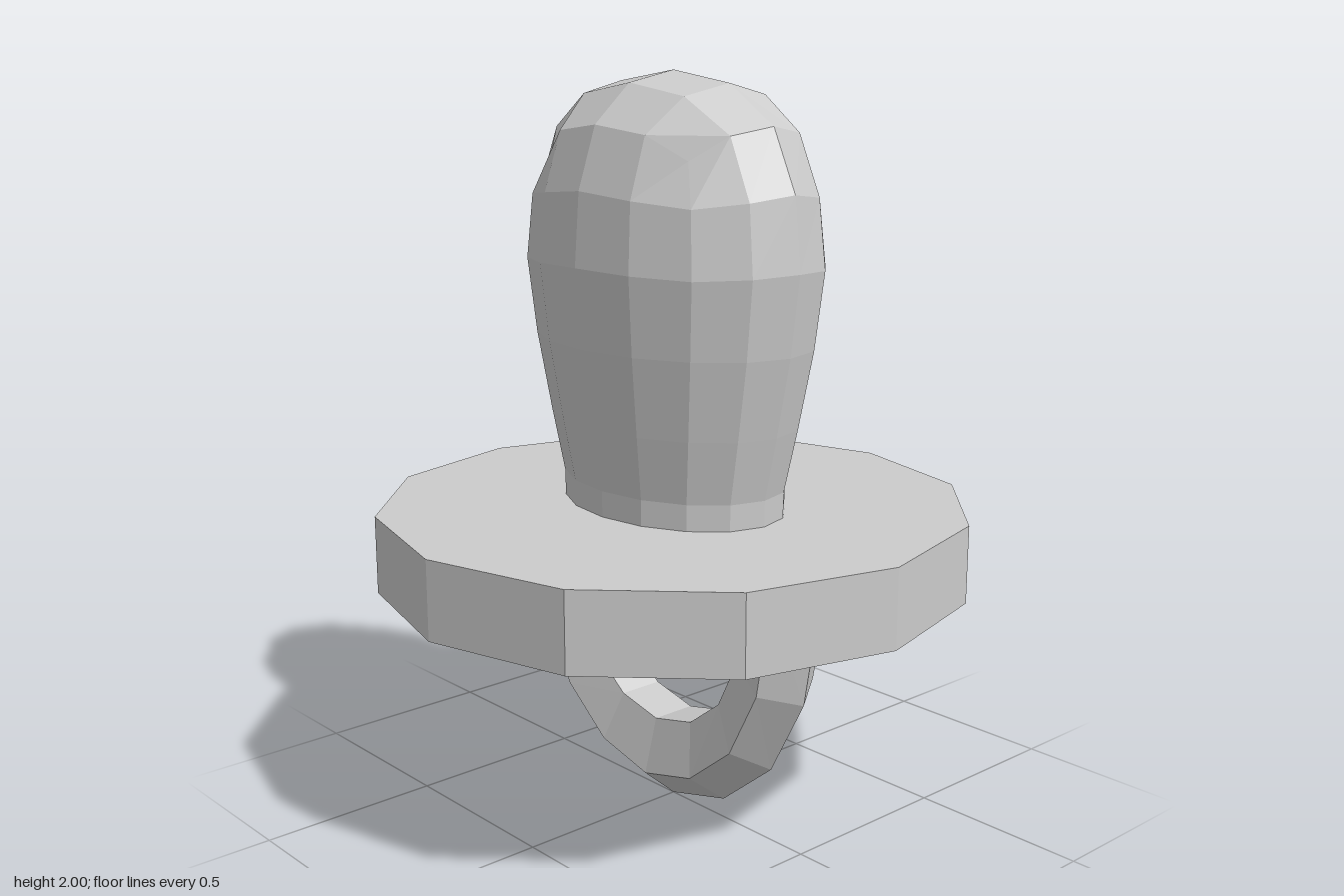
import * as THREE from 'three';

const material = new THREE.MeshStandardMaterial({ color: 0xcccccc, flatShading: true });

// Collects quads (corners counter-clockwise from outside) into a faceted mesh.
function quadMesh(name, addQuads) {
  const positions = [];
  addQuads((a, b, c, d) => positions.push(...a, ...b, ...c, ...a, ...c, ...d));
  const geometry = new THREE.BufferGeometry();
  geometry.setAttribute('position', new THREE.Float32BufferAttribute(positions, 3));
  geometry.computeVertexNormals();
  const mesh = new THREE.Mesh(geometry, material);
  mesh.name = name;
  return mesh;
}

// Oval bulb: stacked 16-sided rings closed by a rounded 4 x 4 grid of quads.
function createBulb() {
  const RX = 0.33, RZ = 0.46, SIDES = 16;
  // [larger offset][smaller offset] -> [larger fraction, smaller fraction, height]
  const cap = [
    [[0, 0, 2]],
    [[0.45, 0, 1.97], [0.42, 0.42, 1.94]],
    [[0.79, 0, 1.87], [0.73, 0.36, 1.85], [0.58, 0.58, 1.79]],
  ];
  const capPoint = (i, j) => {
    const m = Math.abs(i), n = Math.abs(j);
    const [big, small, y] = cap[Math.max(m, n)][Math.min(m, n)];
    const fx = m >= n ? big : small, fz = m >= n ? small : big;
    return [Math.sign(i) * fx * RX, y, Math.sign(j) * fz * RZ];
  };
  const angle = (k) => (k % SIDES) * 2 * Math.PI / SIDES;
  const gridStep = (v) => THREE.MathUtils.clamp(Math.round(2.8 * v), -2, 2);
  const capRim = (k) => capPoint(gridStep(Math.cos(angle(k))), gridStep(Math.sin(angle(k))));

  // [radius fraction, height, drop at the diagonals]
  const profile = [
    [0.955, 1.71, 0.03], [1, 1.52, 0.01], [0.94, 1.31, 0],
    [0.845, 1.1, 0], [0.76, 0.93, 0], [0.755, 0.8, 0],
  ];
  const rings = [capRim, ...profile.map(([r, y, drop]) => (k) => {
    const a = angle(k);
    return [r * RX * Math.cos(a), y - drop * Math.sin(2 * a) ** 2, r * RZ * Math.sin(a)];
  })];

  return quadMesh('bulb', (quad) => {
    for (let i = -2; i < 2; i++) for (let j = -2; j < 2; j++) {
      quad(capPoint(i, j), capPoint(i, j + 1), capPoint(i + 1, j + 1), capPoint(i + 1, j));
    }
    for (let r = 0; r < rings.length - 1; r++) for (let k = 0; k < SIDES; k++) {
      quad(rings[r](k), rings[r](k + 1), rings[r + 1](k + 1), rings[r + 1](k));
    }
  });
}

// Half-loop handle: a five-sided section swept between outer and inner curves.
function createHandle() {
  // [outer z, outer y, inner z, inner y], from the bottom up into the shield
  const half = [
    [0, 0, 0, 0.243], [0.206, 0.053, 0.14, 0.275], [0.386, 0.2, 0.25, 0.36],
    [0.5, 0.415, 0.32, 0.5], [0.552, 0.72, 0.364, 0.72],
  ];
  const mirrored = half.slice(1).map(([oz, oy, iz, iy]) => [-oz, oy, -iz, iy]);
  const stations = [...half.slice().reverse(), ...mirrored];
  // [x, fraction of the way from the outer to the inner curve]
  const section = [[0, 0], [0.105, 0.375], [0.065, 1], [-0.065, 1], [-0.105, 0.375]];
  const point = (s, k) => {
    const [oz, oy, iz, iy] = stations[s];
    const [x, t] = section[k % section.length];
    return [x, oy + (iy - oy) * t, oz + (iz - oz) * t];
  };
  return quadMesh('handle', (quad) => {
    for (let s = 0; s < stations.length - 1; s++) for (let k = 0; k < section.length; k++) {
      quad(point(s, k), point(s + 1, k), point(s + 1, k + 1), point(s, k + 1));
    }
  });
}

export function createModel() {
  const model = new THREE.Group();
  model.name = 'pacifier';

  // Twelve-sided flat shield
  const shield = new THREE.Mesh(new THREE.CylinderGeometry(0.8, 0.8, 0.21, 12), material);
  shield.name = 'shield';
  shield.position.y = 0.755;

  model.add(createBulb(), shield, createHandle());
  return model;
}
